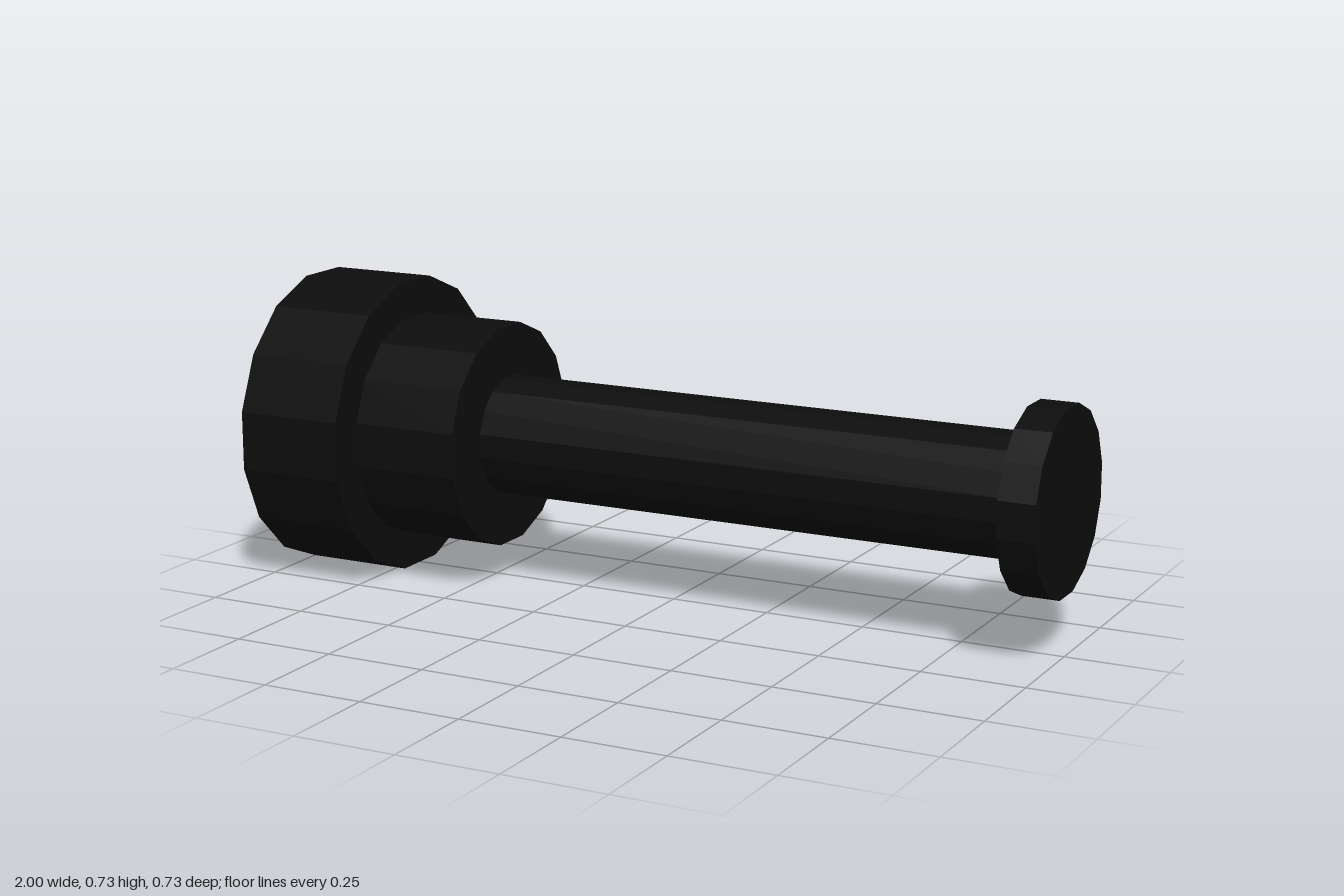
import * as THREE from 'three';

const SIDES = 16;
const AXIS_Y = 0.364;

export function createModel() {
  const group = new THREE.Group();
  group.name = 'steppedPin';
  const black = new THREE.MeshStandardMaterial({ color: 0x0d0d0d, flatShading: true });
  black.name = 'black';

  // Faceted drum lying along x, with flats on top, bottom, front and back
  function drum(name, x0, x1, apothem) {
    const radius = apothem / Math.cos(Math.PI / SIDES);
    const geometry = new THREE.CylinderGeometry(radius, radius, x1 - x0, SIDES, 1, false, Math.PI / SIDES);
    geometry.rotateZ(-Math.PI / 2);
    const mesh = new THREE.Mesh(geometry, black);
    mesh.name = name;
    mesh.position.set((x0 + x1) / 2, AXIS_Y, 0);
    group.add(mesh);
  }

  drum('head', -1, -0.727, 0.364);
  drum('collar', -0.727, -0.455, 0.273);
  drum('shaft', -0.455, 0.909, 0.145);
  drum('endFlange', 0.909, 1, 0.22);

  return group;
}
